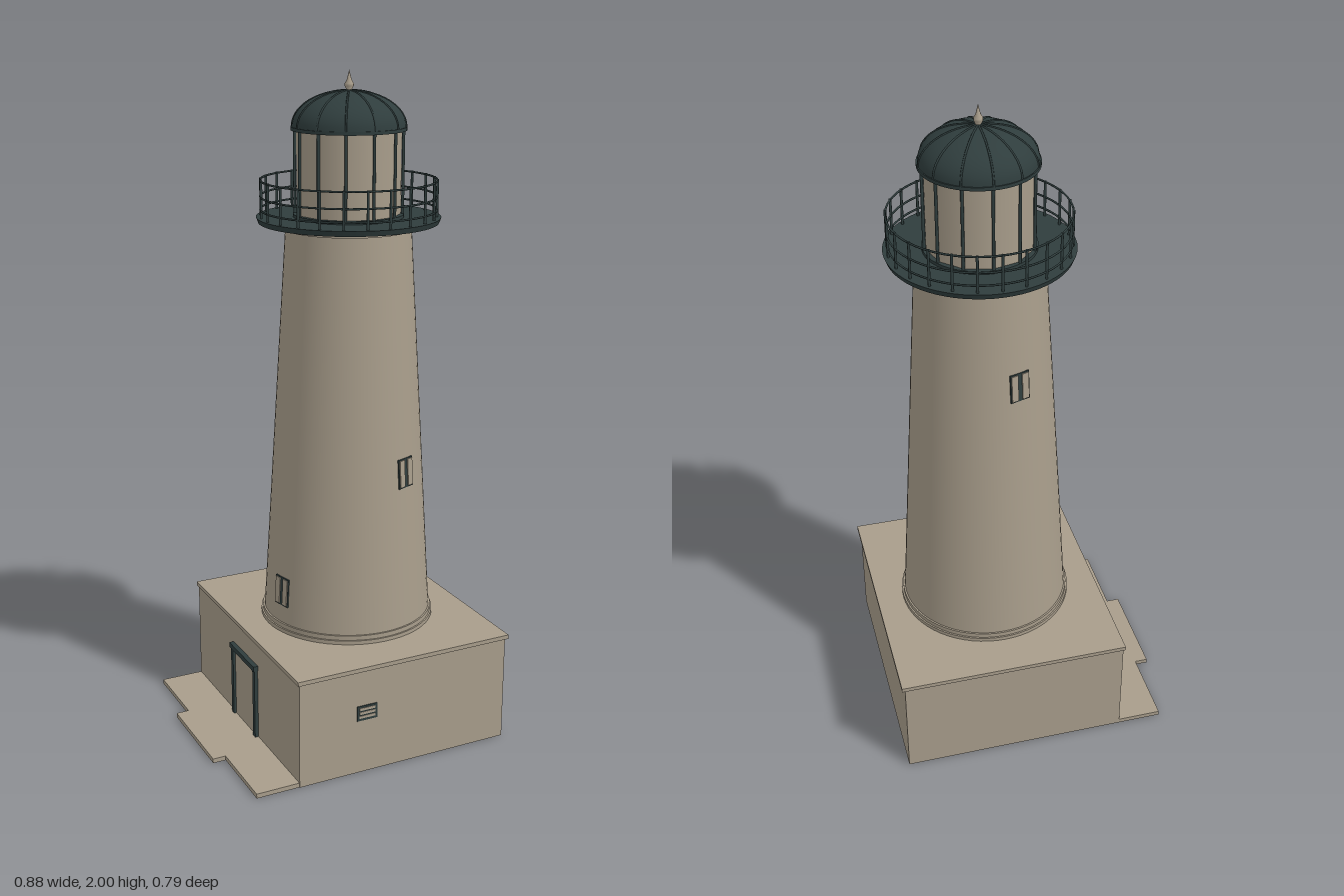
import * as THREE from 'three';

export function createModel() {
  const stone = new THREE.MeshStandardMaterial({ color: 0xa89d8b });
  stone.name = 'stone';
  const iron = new THREE.MeshStandardMaterial({ color: 0x2f3d3d });
  iron.name = 'dark iron';

  const model = new THREE.Group();
  model.name = 'lighthouse';

  const add = (parent, name, geometry, material, x = 0, y = 0, z = 0) => {
    const mesh = new THREE.Mesh(geometry, material);
    mesh.name = name;
    mesh.position.set(x, y, z);
    parent.add(mesh);
    return mesh;
  };
  // Box given by its limits on each axis
  const box = (parent, name, material, x0, x1, y0, y1, z0, z1) =>
    add(parent, name, new THREE.BoxGeometry(x1 - x0, y1 - y0, z1 - z0), material,
      (x0 + x1) / 2, (y0 + y1) / 2, (z0 + z1) / 2);
  // Upright round part between two heights
  const round = (parent, name, material, rBottom, rTop, y0, y1, sides = 64) =>
    add(parent, name, new THREE.CylinderGeometry(rTop, rBottom, y1 - y0, sides), material,
      0, (y0 + y1) / 2, 0);

  // Square base with roof slab, paving and doorstep
  box(model, 'baseBlock', stone, -0.265, 0.425, 0, 0.327, -0.39, 0.39);
  box(model, 'baseRoof', stone, -0.27, 0.435, 0.327, 0.34, -0.396, 0.394);
  box(model, 'paving', stone, -0.4, -0.26, 0, 0.014, -0.39, 0.388);
  box(model, 'doorstep', stone, -0.44, -0.4, 0, 0.014, -0.156, 0.154);

  // Door on the side, with a dark surround
  const door = new THREE.Group();
  door.name = 'door';
  model.add(door);
  box(door, 'doorLeaf', stone, -0.268, -0.262, 0.014, 0.24, -0.08, 0.08);
  for (const s of [-1, 1]) {
    box(door, 'doorJamb', iron, -0.276, -0.262, 0.014, 0.24, s * 0.084 - 0.008, s * 0.084 + 0.008);
  }
  box(door, 'doorLintel', iron, -0.28, -0.262, 0.238, 0.254, -0.095, 0.095);

  // Small louvred vent on the front of the base
  const vent = new THREE.Group();
  vent.name = 'baseVent';
  model.add(vent);
  box(vent, 'ventFrame', iron, -0.08, -0.014, 0.17, 0.217, 0.386, 0.393);
  for (let i = 0; i < 3; i++) {
    const y = 0.178 + i * 0.0125;
    box(vent, 'ventSlat', stone, -0.073, -0.021, y, y + 0.008, 0.388, 0.3945);
  }

  // Everything round stands on one axis
  const tower = new THREE.Group();
  tower.name = 'tower';
  tower.position.x = 0.083;
  model.add(tower);

  const Y0 = 0.362, Y1 = 1.555, R0 = 0.258, R1 = 0.185;
  round(tower, 'plinthRing', stone, 0.268, 0.268, 0.34, 0.352);
  round(tower, 'upperPlinthRing', stone, 0.263, 0.263, 0.352, 0.366);
  round(tower, 'shaft', stone, R0, R1, Y0, Y1);
  round(tower, 'shaftCollar', stone, 0.194, 0.194, Y1 - 0.004, 1.57);

  // Tower windows, leaning with the wall
  const towerWindow = (degrees, y) => {
    const turn = new THREE.Group();
    turn.name = 'towerWindow';
    turn.rotation.y = THREE.MathUtils.degToRad(degrees);
    tower.add(turn);
    const leaf = new THREE.Group();
    leaf.name = 'windowUnit';
    leaf.position.set(0, y, R0 + (R1 - R0) * (y - Y0) / (Y1 - Y0));
    leaf.rotation.x = -Math.atan((R0 - R1) / (Y1 - Y0));
    turn.add(leaf);
    box(leaf, 'windowFrame', iron, -0.031, 0.031, -0.045, 0.045, -0.008, 0.002);
    for (const s of [-1, 1]) {
      box(leaf, 'windowPane', stone, s * 0.0175 - 0.0105, s * 0.0175 + 0.0105, -0.041, 0.041, -0.006, 0.005);
    }
  };
  towerWindow(282, 0.465);
  towerWindow(22, 0.845);
  towerWindow(198, 1.23);

  // Gallery deck and railing
  round(tower, 'galleryDeck', iron, 0.264, 0.27, 1.568, 1.584);
  const railing = new THREE.Group();
  railing.name = 'railing';
  tower.add(railing);
  for (let i = 0; i < 24; i++) {
    const a = i * Math.PI / 12;
    add(railing, 'railPost', new THREE.CylinderGeometry(0.004, 0.004, 0.112, 8), iron,
      0.257 * Math.cos(a), 1.637, 0.257 * Math.sin(a));
  }
  for (const y of [1.605, 1.643, 1.69]) {
    const rail = add(railing, 'rail', new THREE.TorusGeometry(0.257, 0.003, 6, 72), iron, 0, y, 0);
    rail.rotation.x = Math.PI / 2;
  }

  // Lantern room with twelve glazing bars
  round(tower, 'lanternWall', stone, 0.152, 0.152, 1.58, 1.84, 12);
  round(tower, 'lanternSill', iron, 0.162, 0.162, 1.584, 1.593, 48);
  for (let i = 0; i < 12; i++) {
    const a = i * Math.PI / 6;
    add(tower, 'glazingBar', new THREE.CylinderGeometry(0.0045, 0.0045, 0.25, 8), iron,
      0.157 * Math.cos(a), 1.712, 0.157 * Math.sin(a));
  }

  // Domed roof with ribs
  const DOME_Y = 1.84, DOME_R = 0.165, DOME_H = 0.103;
  const arc = (r, h, n) => Array.from({ length: n + 1 }, (_, i) => {
    const t = i / n * Math.PI / 2;
    return new THREE.Vector2(r * Math.cos(t), h * Math.sin(t));
  });
  round(tower, 'eave', iron, 0.168, 0.168, 1.832, 1.842);
  add(tower, 'dome', new THREE.LatheGeometry(arc(DOME_R, DOME_H, 12), 48), iron, 0, DOME_Y, 0);
  const ribPath = new THREE.CatmullRomCurve3(
    arc(DOME_R, DOME_H, 8).map(p => new THREE.Vector3(p.x, p.y, 0)));
  const ribGeometry = new THREE.TubeGeometry(ribPath, 16, 0.003, 6);
  for (let i = 0; i < 12; i++) {
    add(tower, 'domeRib', ribGeometry, iron, 0, DOME_Y, 0).rotation.y = i * Math.PI / 6;
  }

  // Pointed finial
  const finial = [[0.012, 1.935], [0.008, 1.945], [0.013, 1.955], [0.013, 1.962], [0.007, 1.972], [0, 2]];
  add(tower, 'finial', new THREE.LatheGeometry(
    finial.map(([r, y]) => new THREE.Vector2(r, y)), 16), stone);

  return model;
}
